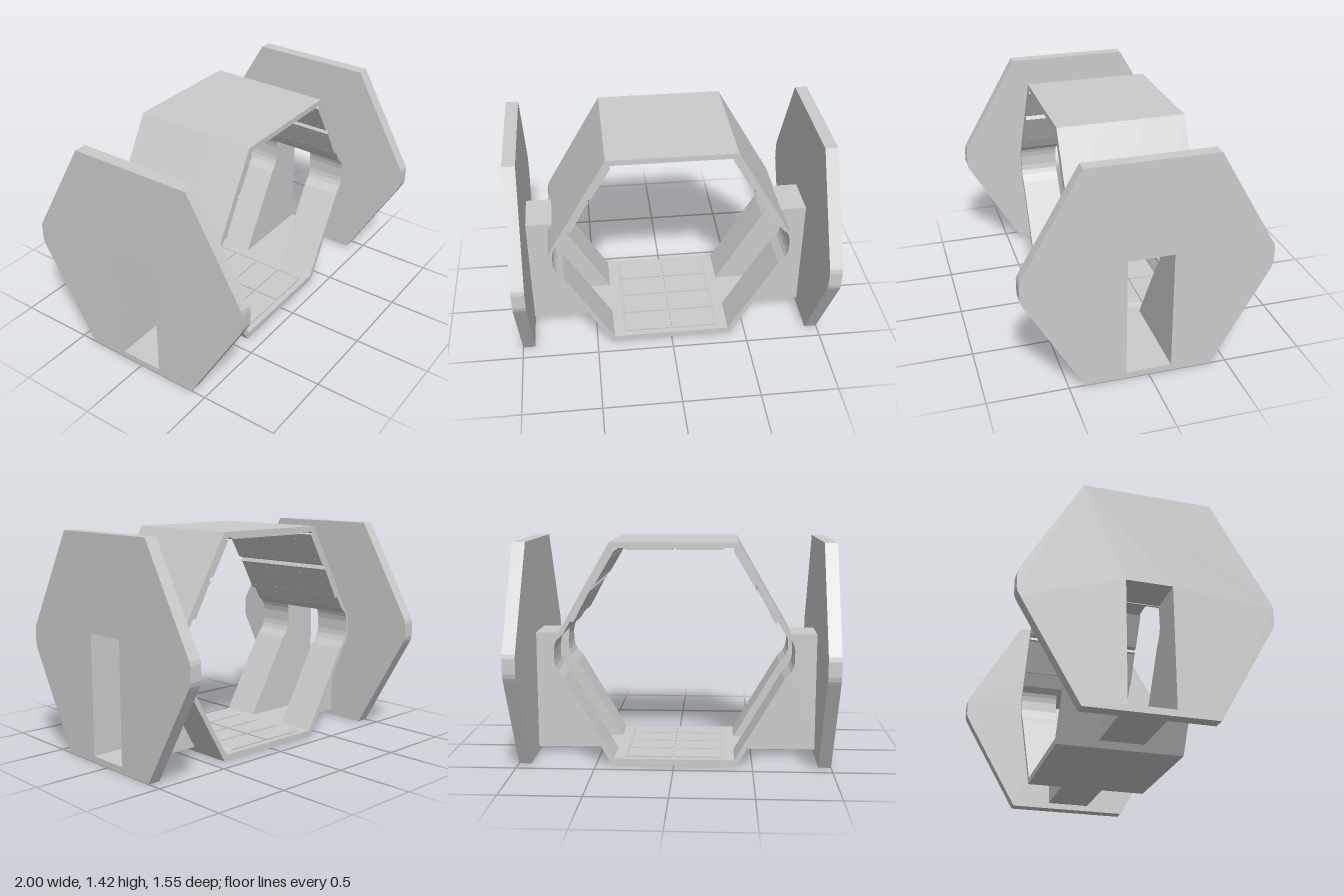
import * as THREE from 'three';

const material = new THREE.MeshStandardMaterial({ color: 0xcccccc, flatShading: true });
const sheet = new THREE.MeshStandardMaterial({ color: 0xcccccc, side: THREE.DoubleSide, flatShading: true });

// Right halves of the cross-sections, from bottom to top
const OUTER = [[0.4, 0], [0.755, 0.615], [0.768, 0.64], [0.775, 0.667], [0.775, 0.76], [0.768, 0.787], [0.755, 0.81], [0.4, 1.425]];
const INNER = [
  [0.385, 0.04], [0.695, 0.57], [0.735, 0.615], [0.75, 0.645], [0.757, 0.68], [0.757, 0.75],
  [0.75, 0.785], [0.74, 0.81], [0.70, 0.845], [0.65, 0.93], [0.63, 0.925], [0.524, 1.123],
  [0.51, 1.13], [0.522, 1.155], [0.49, 1.166], [0.37, 1.37], [0.385, 1.38], [0.37, 1.39],
];
const DOOR = { half: 0.143, bottom: 0.04, top: 0.815 };
const DEPTH = 0.4;

const vectors = (points) => points.map(([x, y]) => new THREE.Vector2(x, y));
const mirrored = (half) => [...half, ...half.map(([x, y]) => [-x, y]).reverse()];

function addMesh(parent, name, geometry, mat = material) {
  const mesh = new THREE.Mesh(geometry, mat);
  mesh.name = name;
  parent.add(mesh);
  return mesh;
}

function extrudeZ(parent, name, shape, z0, z1) {
  const geometry = new THREE.ExtrudeGeometry(shape, { depth: z1 - z0, bevelEnabled: false });
  geometry.translate(0, 0, z0);
  return addMesh(parent, name, geometry);
}

// Hexagonal tube: full rings at both ends, roof and floor between the doorways
function makeTube() {
  const tube = new THREE.Group();
  tube.name = 'hexTube';
  const ring = new THREE.Shape(vectors(mirrored(OUTER)));
  ring.holes.push(new THREE.Path(vectors(mirrored(INNER))));
  extrudeZ(tube, 'frontRing', ring, DOOR.half, DEPTH);
  extrudeZ(tube, 'backRing', ring, -DEPTH, -DOOR.half);

  const above = ([, y]) => y >= 0.81;
  const outer = mirrored(OUTER.filter(above));
  const inner = mirrored(INNER.filter(above)).reverse();
  extrudeZ(tube, 'roofArch', new THREE.Shape(vectors([...outer, ...inner])), -DOOR.half, DOOR.half);
  const floor = mirrored([[0.4, 0], [0.423, 0.04]]);
  extrudeZ(tube, 'floorStrip', new THREE.Shape(vectors(floor)), -DOOR.half, DOOR.half);
  return tube;
}

// Raised tiles, two columns by four rows, with a sloped outer edge
function makeTiles(name, y, height) {
  const tiles = new THREE.Group();
  tiles.name = name;
  const gap = 0.008;
  const pitch = 0.185;
  const profile = [[gap, y], [0.32, y], [0.295, y + height], [gap, y + height]];
  for (const side of [-1, 1]) {
    const shape = new THREE.Shape(vectors(profile.map(([x, py]) => [x * side, py])));
    for (let row = -2; row < 2; row++) {
      extrudeZ(tiles, 'tile', shape, row * pitch + gap, (row + 1) * pitch - gap);
    }
  }
  return tiles;
}

// Small rivets along the edges of the upper wall panels
function addRivets(parent) {
  const rows = [[0.617, 0.95], [0.539, 1.095], [0.474, 1.193], [0.39, 1.336]];
  const geometry = new THREE.CylinderGeometry(0.004, 0.004, 0.006, 6);
  geometry.rotateZ(Math.PI / 6);
  for (const [x, y] of rows) {
    for (let i = 0; i < 8; i++) {
      addMesh(parent, 'rivet', geometry).position.set(x, y, -0.35 + i * 0.1);
    }
  }
}

// End plate with its doorway, and the tunnel from it to the tube
function makeSide(name) {
  const side = new THREE.Group();
  side.name = name;
  const { half, bottom, top } = DOOR;
  const plate = new THREE.Shape(vectors(mirrored(OUTER)));
  plate.holes.push(new THREE.Path(vectors([[-half, bottom], [half, bottom], [half, top], [-half, top]])));
  const geometry = new THREE.ExtrudeGeometry(plate, { depth: 0.08, bevelEnabled: false });
  geometry.rotateY(Math.PI / 2).translate(0.92, 0, 0);
  addMesh(side, 'endPlate', geometry);

  const wall = new THREE.Shape(vectors([
    [0.41, bottom], [0.92, bottom], [0.92, top], [0.745, top], [0.755, 0.67], [0.735, 0.615],
  ]));
  for (const z of [-half, half]) {
    addMesh(side, 'tunnelWall', new THREE.ShapeGeometry(wall), sheet).position.z = z;
  }
  for (const [part, x0, y] of [['tunnelFloor', 0.4, bottom], ['tunnelRoof', 0.745, top]]) {
    const plane = new THREE.PlaneGeometry(0.92 - x0, half * 2).rotateX(-Math.PI / 2);
    addMesh(side, part, plane, sheet).position.set((x0 + 0.92) / 2, y, 0);
  }
  addRivets(side);
  return side;
}

export function createModel() {
  const model = new THREE.Group();
  model.name = 'hexCorridor';
  model.add(makeTube(), makeTiles('floorTiles', 0.04, 0.01), makeTiles('ceilingTiles', 1.39, -0.015));
  const left = makeSide('leftDoorway');
  const right = makeSide('rightDoorway');
  right.rotation.y = Math.PI;
  model.add(left, right);
  return model;
}
